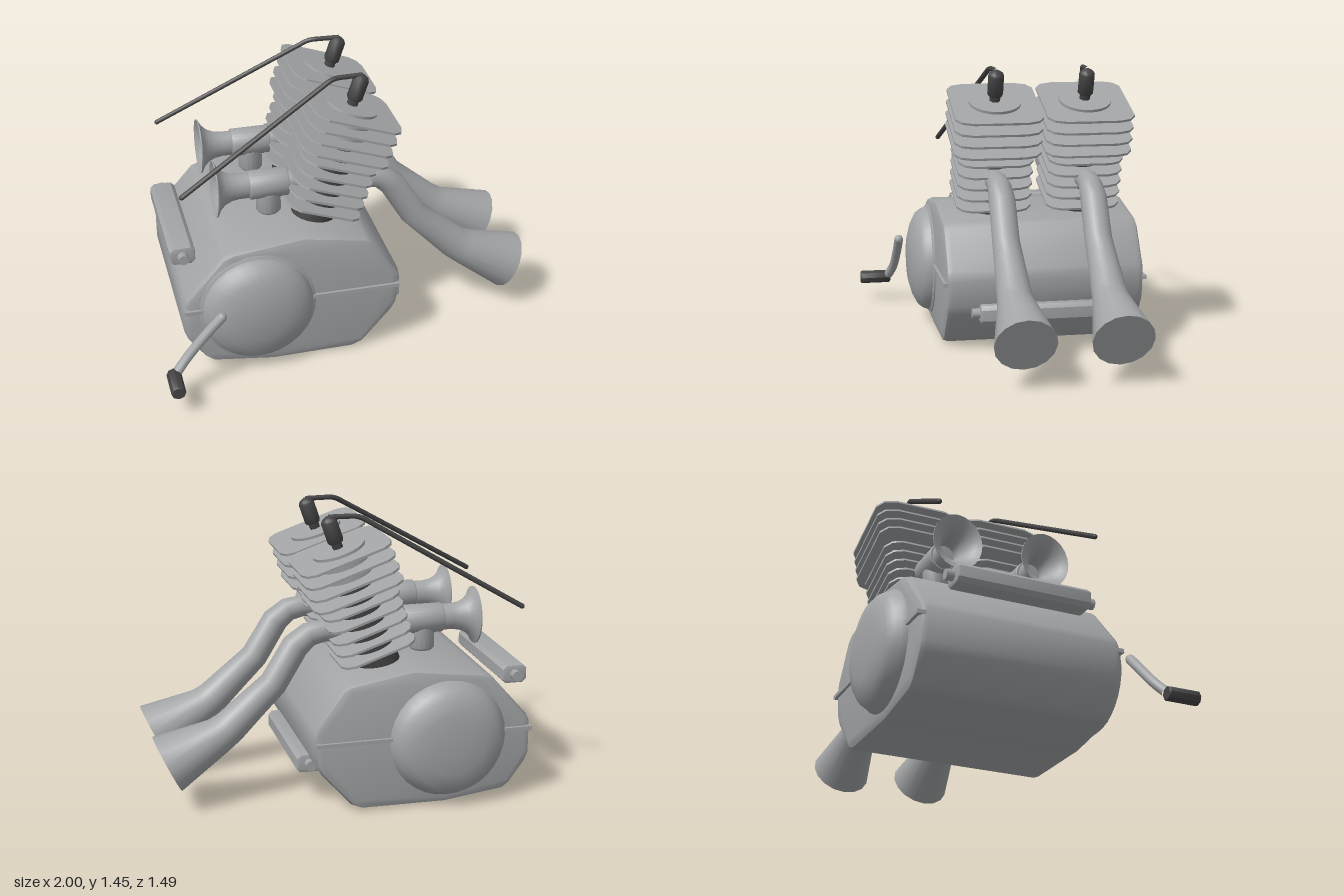
import * as THREE from 'three';
import { toCreasedNormals } from 'three/addons/utils/BufferGeometryUtils.js';

const V2 = (p) => new THREE.Vector2(p[0], p[1]);
const V3 = (p) => new THREE.Vector3(p[0], p[1], p[2]);

export function createModel() {
  const metal = new THREE.MeshStandardMaterial({ color: 0xa2a4a6 });
  metal.name = 'cast metal grey';
  const dark = new THREE.MeshStandardMaterial({ color: 0x444444 });
  dark.name = 'dark grey';

  const model = new THREE.Group();
  model.name = 'twinEngine';

  const add = (parent, name, geo, mat, x = 0, y = 0, z = 0) => {
    const m = new THREE.Mesh(geo, mat);
    m.name = name;
    m.position.set(x, y, z);
    parent.add(m);
    return m;
  };

  // Prism from an outline in xy, running from z0 to z1 with bevelled rims
  const prism = (pts, z0, z1, bevel, crease = 0.6) => {
    const geo = new THREE.ExtrudeGeometry(new THREE.Shape(pts.map(V2)), {
      depth: z1 - z0 - 2 * bevel, bevelEnabled: bevel > 0, bevelSize: bevel,
      bevelThickness: bevel, bevelOffset: -bevel, bevelSegments: 2,
    });
    geo.translate(0, 0, z0 + bevel);
    return toCreasedNormals(geo, crease);
  };
  const lathe = (pts, seg = 24) => toCreasedNormals(new THREE.LatheGeometry(pts.map(V2), seg), 0.7);
  const chamferedBox = (a, b, c) => [
    [a, -b + c], [a, b - c], [a - c, b], [-a + c, b],
    [-a, b - c], [-a, -b + c], [-a + c, -b], [a - c, -b],
  ];

  // Capped pipe through [x, y, radius] stations in the xy plane
  const taperedPipe = (st, seg = 16) => {
    const pos = [], idx = [], last = st.length - 1;
    const ring = (i, r) => {
      const a = st[Math.max(i - 1, 0)], b = st[Math.min(i + 1, last)];
      const t = new THREE.Vector2(b[0] - a[0], b[1] - a[1]).normalize();
      for (let j = 0; j < seg; j++) {
        const c = r * Math.cos(j / seg * Math.PI * 2), s = r * Math.sin(j / seg * Math.PI * 2);
        pos.push(st[i][0] - t.y * c, st[i][1] + t.x * c, s);
      }
    };
    ring(0, 0);
    st.forEach((p, i) => ring(i, p[2]));
    ring(last, 0);
    for (let i = 0; i < last + 2; i++) {
      for (let j = 0; j < seg; j++) {
        const k = (j + 1) % seg;
        const a = i * seg + j, b = i * seg + k, c = b + seg, d = a + seg;
        if (i > 0) idx.push(a, b, d);
        if (i < last + 1) idx.push(b, c, d);
        if (i === 0) continue;
      }
    }
    // the first fan needs only b, c, d; the last only a, b, d
    const geo = new THREE.BufferGeometry();
    geo.setAttribute('position', new THREE.Float32BufferAttribute(pos, 3));
    geo.setIndex(idx);
    return toCreasedNormals(geo, 0.9);
  };

  // Crankcase with its seam
  add(model, 'crankcase', prism([
    [-0.42, 0], [0.0, 0.005], [0.06, 0.03], [0.21, 0.2], [0.24, 0.25], [0.255, 0.38],
    [0.245, 0.44], [0.11, 0.63], [0.07, 0.655], [-0.25, 0.71], [-0.61, 0.665], [-0.66, 0.645],
    [-0.85, 0.43], [-0.87, 0.39], [-0.87, 0.23], [-0.85, 0.18], [-0.77, 0.07], [-0.73, 0.04],
  ], -0.63, 0.4, 0.035), metal);
  add(model, 'crankcaseSeam', new THREE.BoxGeometry(1.11, 0.02, 1.06), metal, -0.313, 0.366, -0.115);

  // Domed side covers
  const frontCover = add(model, 'frontCover', lathe([
    [0.3, -0.03], [0.3, 0.005], [0.285, 0.012], [0.275, 0.04], [0.255, 0.066],
    [0.2, 0.095], [0.13, 0.115], [0, 0.122],
  ], 32), metal, -0.495, 0.347, 0.4);
  frontCover.rotation.x = Math.PI / 2;
  const backCover = add(model, 'backCover', lathe([
    [0.3, -0.03], [0.3, 0.005], [0.285, 0.03], [0.27, 0.06], [0.235, 0.09],
    [0.16, 0.11], [0.08, 0.117], [0, 0.119],
  ], 32), metal, -0.43, 0.347, -0.628);
  backCover.rotation.x = -Math.PI / 2;

  // Mounting bars behind the case and low on the exhaust side
  for (const [name, x, y] of [['rearMount', -0.84, 0.593], ['lowerMount', 0.237, 0.213]]) {
    const mount = new THREE.Group();
    mount.name = name;
    mount.position.set(x, y, -0.115);
    add(mount, 'mountBar', prism(chamferedBox(0.065, 0.048, 0.02), -0.345, 0.345, 0.01), metal);
    const pin = add(mount, 'mountPin', new THREE.CylinderGeometry(0.027, 0.027, 0.77, 12), metal);
    pin.rotation.x = Math.PI / 2;
    model.add(mount);
  }

  // Kick lever
  const lever = new THREE.CatmullRomCurve3([
    [-0.705, 0.412, 0.545], [-0.78, 0.335, 0.548], [-0.89, 0.215, 0.562], [-0.945, 0.155, 0.585],
  ].map(V3));
  add(model, 'leverArm', new THREE.TubeGeometry(lever, 12, 0.025, 10), metal);
  const tip = add(model, 'leverTip', new THREE.SphereGeometry(0.025, 10, 8), metal);
  tip.position.copy(lever.getPoint(0));
  const grip = add(model, 'leverGrip', lathe([
    [0, -0.085], [0.032, -0.085], [0.037, -0.078], [0.037, 0.078], [0.032, 0.085], [0, 0.085],
  ], 8), dark, -0.963, 0.14, 0.66);
  grip.rotation.x = Math.PI / 2;

  // Everything that each of the two cylinders carries
  const finShape = (a, b) => prism([
    [a, -b * 0.6], [a, b * 0.6], [a - 0.018, b - 0.03], [a - 0.06, b], [-a + 0.06, b],
    [-a + 0.018, b - 0.03], [-a, b * 0.6], [-a, -b * 0.6], [-a + 0.018, -b + 0.03],
    [-a + 0.06, -b], [a - 0.06, -b], [a - 0.018, -b + 0.03],
  ], -0.006, 0.006, 0).rotateX(-Math.PI / 2);
  const headFin = finShape(0.235, 0.225), barrelFin = finShape(0.2, 0.195);

  const exhaust = taperedPipe([
    [0.06, 0.865, 0.055], [0.14, 0.866, 0.056], [0.21, 0.853, 0.061], [0.28, 0.8, 0.068],
    [0.395, 0.612, 0.07], [0.5, 0.515, 0.077], [0.62, 0.403, 0.087], [0.68, 0.36, 0.094], [0.935, 0.237, 0.153],
  ]);

  for (const side of [1, -1]) {
    const z = -0.115 + side * 0.235;
    const unit = new THREE.Group();
    unit.name = side > 0 ? 'frontCylinder' : 'backCylinder';
    unit.position.z = z;
    model.add(unit);

    // Leaning barrel, head, fins and plug
    const barrel = new THREE.Group();
    barrel.name = 'barrelAndHead';
    barrel.position.set(-0.14, 0.69, 0);
    barrel.rotation.z = -THREE.MathUtils.degToRad(19);
    unit.add(barrel);
    add(barrel, 'barrel', new THREE.CylinderGeometry(0.114, 0.114, 0.5, 24), dark, 0, 0.2, 0);
    add(barrel, 'head', new THREE.CylinderGeometry(0.135, 0.135, 0.175, 24), metal, 0, 0.5375, 0);
    for (let i = 0; i < 9; i++) {
      add(barrel, 'coolingFin', i < 5 ? barrelFin : headFin, metal, 0, 0.085 + i * 0.065, 0);
    }
    add(barrel, 'plugNeck', new THREE.CylinderGeometry(0.028, 0.028, 0.07, 6), dark, 0, 0.65, 0);
    add(barrel, 'plugCap', lathe([
      [0, 0.655], [0.036, 0.655], [0.041, 0.665], [0.041, 0.765], [0.034, 0.778], [0.012, 0.792], [0, 0.793],
    ], 12), dark);

    // Plug lead spreading outwards to the rear
    const lead = new THREE.CurvePath();
    const p = [[0.115, 1.437, 0], [-0.01, 1.437, 0.005], [-0.06, 1.425, 0.015], [-0.837, 0.972, 0.18]]
      .map(([x, y, dz]) => new THREE.Vector3(x, y, dz * side));
    lead.add(new THREE.LineCurve3(p[0], p[1]));
    lead.add(new THREE.QuadraticBezierCurve3(p[1], new THREE.Vector3(-0.035, 1.437, 0.009 * side), p[2]));
    lead.add(new THREE.LineCurve3(p[2], p[3]));
    add(unit, 'plugLead', new THREE.TubeGeometry(lead, 48, 0.013, 8), dark);
    const leadEnd = add(unit, 'plugLeadEnd', new THREE.SphereGeometry(0.013, 8, 6), dark);
    leadEnd.position.copy(p[3]);

    // Carburettor: intake horn, body, manifold and float bowl
    const horn = add(unit, 'intakeHorn', lathe([
      [0.066, -0.02], [0.066, 0.04], [0.072, 0.08], [0.088, 0.115], [0.115, 0.142], [0.146, 0.158],
      [0.146, 0.165], [0.108, 0.145], [0.078, 0.11], [0.06, 0.06], [0.055, 0], [0, 0],
    ]), metal, -0.485, 0.893, 0);
    horn.rotation.z = Math.PI / 2;
    horn.scale.z = 0.88;
    const body = add(unit, 'carburettorBody', lathe([
      [0, -0.1], [0.07, -0.1], [0.074, -0.095], [0.074, 0.095], [0.07, 0.1], [0, 0.1],
    ]), metal, -0.375, 0.893, 0);
    body.rotation.z = Math.PI / 2;
    const manifold = add(unit, 'intakeManifold', new THREE.CylinderGeometry(0.05, 0.05, 0.2, 16), metal, -0.19, 0.893, 0);
    manifold.rotation.z = Math.PI / 2;
    add(unit, 'floatBowl', lathe([
      [0, 0.737], [0.055, 0.737], [0.064, 0.748], [0.064, 0.85], [0, 0.85],
    ], 16), metal, -0.373, 0, 0);

    // Flared exhaust
    add(unit, 'exhaustPipe', exhaust, metal);
  }

  return model;
}
